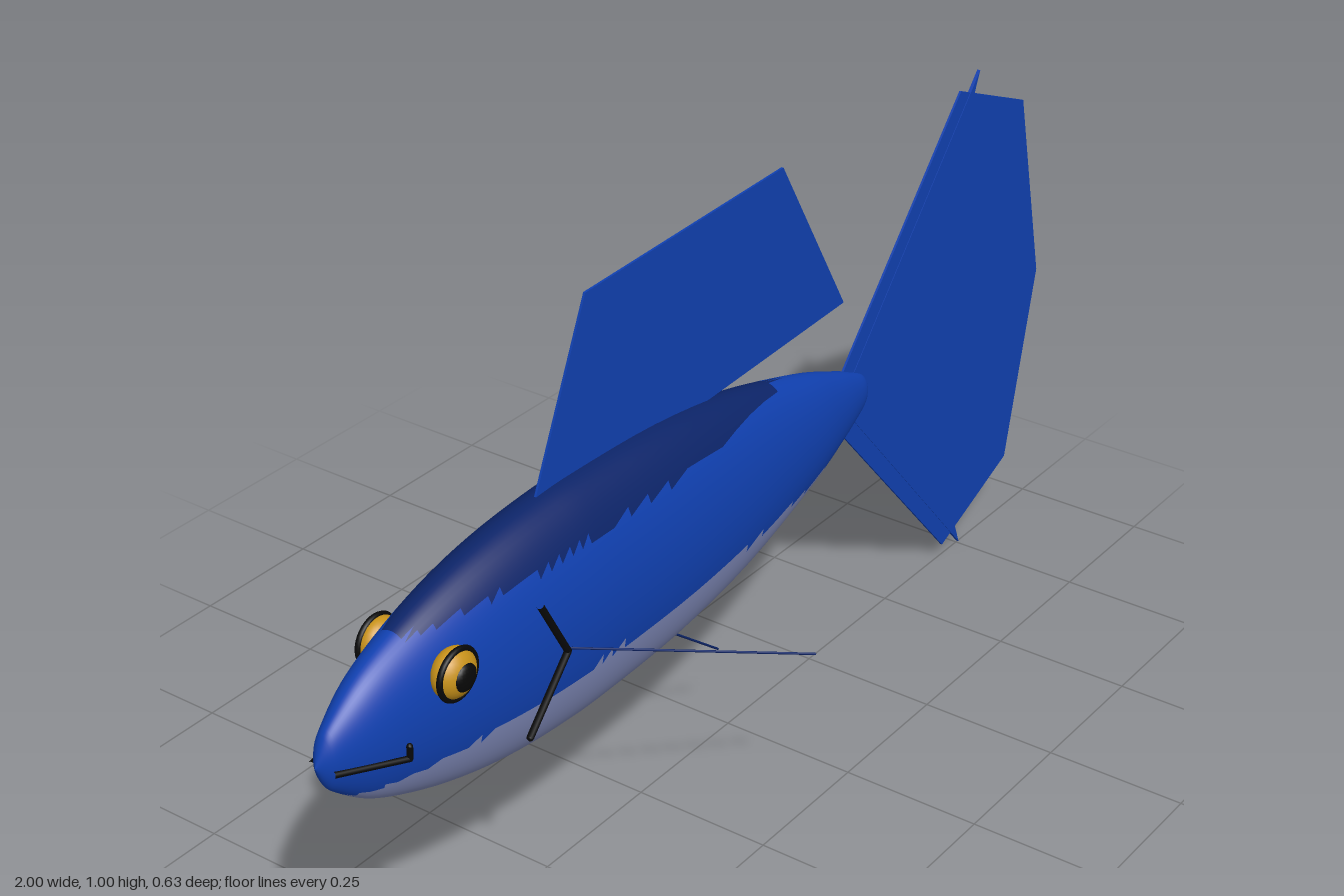
import * as THREE from 'three';

const mat = (name, color, side = THREE.FrontSide) => {
  const m = new THREE.MeshStandardMaterial({ color, side });
  m.name = name;
  return m;
};

export function createModel() {
  const fish = new THREE.Group();
  fish.name = 'fish';
  const blue = mat('blue', 0x1040b0);
  const navy = mat('navy back', 0x0c2468);
  const pale = mat('pale belly', 0x7f89b8);
  const black = mat('black', 0x080808);
  const gold = mat('gold', 0xc8921a);
  const MID = 0.483;

  const add = (name, geometry, material, parent = fish) => {
    const mesh = new THREE.Mesh(geometry, material);
    mesh.name = name;
    parent.add(mesh);
    return mesh;
  };

  // Body: turned profile laid along x and flattened in z
  const profile = [
    [0, -1], [0.036, -0.985], [0.06, -0.965], [0.108, -0.9], [0.15, -0.8], [0.179, -0.7],
    [0.197, -0.6], [0.206, -0.5], [0.208, -0.4], [0.199, -0.2], [0.169, 0], [0.115, 0.2],
    [0.078, 0.3], [0.052, 0.36], [0.03, 0.4], [0, 0.415],
  ].map(([r, x]) => new THREE.Vector2(r, x));
  const points = new THREE.SplineCurve(profile).getPoints(60);
  points.forEach((p) => { p.x = Math.max(0, p.x); });
  const body = new THREE.LatheGeometry(points, 64);
  body.rotateZ(-Math.PI / 2).scale(1, 1, 0.466).translate(0, MID, 0);

  // Sort the body faces by height into belly, flank and back
  const pos = body.attributes.position;
  const bands = [[], [], []];
  const index = body.index.array;
  for (let i = 0; i < index.length; i += 3) {
    const tri = [index[i], index[i + 1], index[i + 2]];
    const y = tri.reduce((sum, v) => sum + pos.getY(v), 0) / 3;
    bands[y < 0.41 ? 0 : y < 0.62 ? 1 : 2].push(...tri);
  }
  body.setIndex(bands.flat());
  let start = 0;
  bands.forEach((band, i) => {
    body.addGroup(start, band.length, i);
    start += band.length;
  });
  add('body', body, [pale, blue, navy]);

  // Thin upright fins
  const fin = (name, outline, thickness) => {
    const shape = new THREE.Shape(outline.map(([x, y]) => new THREE.Vector2(x, y)));
    const geometry = new THREE.ExtrudeGeometry(shape, { depth: thickness, bevelEnabled: false });
    add(name, geometry.translate(0, 0, -thickness / 2), blue);
  };
  fin('dorsalFin', [[-0.5, 0.68], [-0.365, 0.978], [0.15, 0.995], [0.335, 0.68], [-0.12, 0.66], [-0.3, 0.6]], 0.004);
  fin('tailFan', [
    [0.33, 0.535], [0.695, 0.945], [0.915, 0.855], [1, 0.483],
    [0.915, 0.115], [0.695, 0.022], [0.33, 0.43],
  ], 0.004);
  fin('tailFork', [
    [0.33, 0.483], [0.755, 0.965], [0.645, 0.7], [0.683, 0.483], [0.645, 0.28], [0.755, 0],
  ], 0.006);

  // Round strokes between successive points
  const stroke = (name, path, radius) => {
    const group = new THREE.Group();
    group.name = name;
    fish.add(group);
    const v = path.map((p) => new THREE.Vector3(...p));
    const material = name.endsWith('Fin') ? navy : black;
    for (let i = 1; i < v.length; i++) {
      const line = new THREE.LineCurve3(v[i - 1], v[i]);
      add('segment', new THREE.TubeGeometry(line, 1, radius, 8), material, group);
      add('joint', new THREE.SphereGeometry(radius, 8, 6), material, group).position.copy(v[i]);
    }
  };
  stroke('pelvicFin', [[-0.3, 0.38, 0], [-0.03, 0.17, 0]], 0.002);

  // Details on both sides
  for (const s of [1, -1]) {
    const side = s > 0 ? 'front' : 'rear';
    stroke(side + 'PectoralFin', [[-0.545, 0.48, s * 0.09], [-0.2, 0.37, s * 0.312]], 0.002);
    stroke(side + 'Gill', [[-0.605, 0.587, s * 0.094], [-0.555, 0.485, s * 0.103], [-0.635, 0.367, s * 0.09]], 0.006);
    stroke(side + 'Mouth', [[-0.985, 0.473, s * 0.022], [-0.87, 0.452, s * 0.062], [-0.87, 0.474, s * 0.063]], 0.005);

    const eye = new THREE.Group();
    eye.name = side + 'Eye';
    eye.position.set(-0.776, 0.553, s * 0.07);
    eye.rotation.y = s > 0 ? 0 : Math.PI;
    fish.add(eye);
    add('iris', new THREE.SphereGeometry(0.041, 24, 16), gold, eye).scale.z = 0.7;
    add('rim', new THREE.TorusGeometry(0.04, 0.005, 8, 32), black, eye).position.z = 0.008;
    const pupil = add('pupil', new THREE.SphereGeometry(0.023, 20, 12), black, eye);
    pupil.scale.z = 0.45;
    pupil.position.z = 0.022;
  }
  return fish;
}
